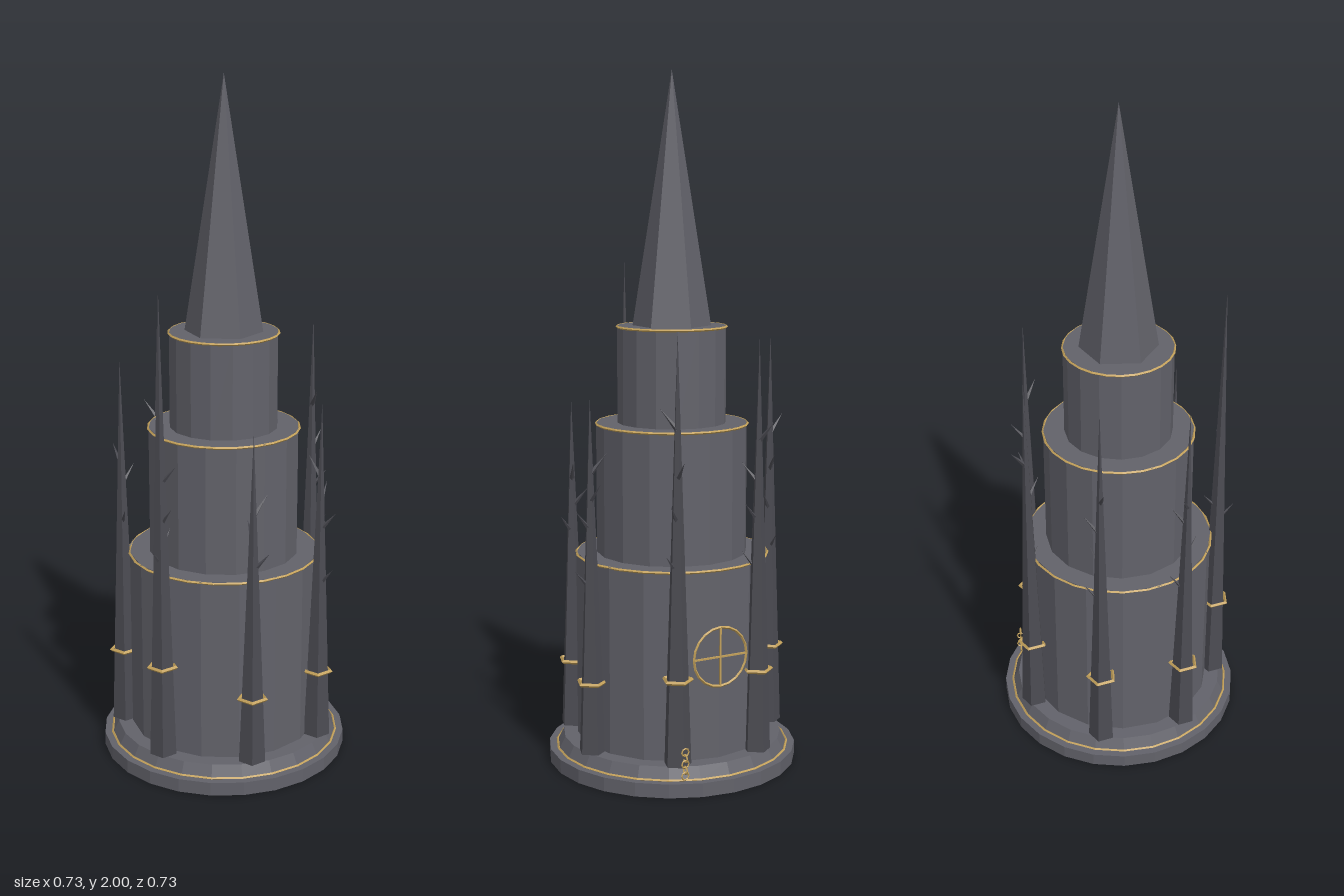
import * as THREE from 'three';

const flat = (name, color) => {
  const m = new THREE.MeshStandardMaterial({ color, flatShading: true });
  m.name = name;
  return m;
};

export function createModel() {
  const stone = flat('grey stone', 0x62626a);
  const dark = flat('dark stone', 0x4c4c53);
  const gold = flat('aged gold', 0xc2a05a);
  const model = new THREE.Group();
  model.name = 'tower';

  const add = (name, geo, mat, x = 0, y = 0, z = 0, parent = model) => {
    const mesh = new THREE.Mesh(geo, mat);
    mesh.name = name;
    mesh.position.set(x, y, z);
    parent.add(mesh);
    return mesh;
  };
  const drum = (name, rTop, rBottom, y0, y1, sides) =>
    add(name, new THREE.CylinderGeometry(rTop, rBottom, y1 - y0, sides), stone, 0, (y0 + y1) / 2, 0);
  const hoop = (name, r, y, tube = 0.004) =>
    add(name, new THREE.TorusGeometry(r, tube, 4, 24).rotateX(Math.PI / 2), gold, 0, y, 0);

  // Stepped base
  drum('basePlinth', 0.365, 0.365, 0, 0.04, 24);
  drum('baseStep', 0.322, 0.34, 0.04, 0.075, 24);
  hoop('baseTrim', 0.341, 0.041);

  // Three stacked tiers with gold rims
  [[0.28, 0.075, 0.62], [0.22, 0.62, 1.0], [0.158, 1.0, 1.28]].forEach(([r, y0, y1], i) => {
    drum(`tier${i + 1}`, r, r, y0, y1, 16);
    hoop(`tierRim${i + 1}`, r, y1 - 0.003);
  });

  // Central six-sided spire
  add('mainSpire', new THREE.ConeGeometry(0.113, 0.72, 6), stone, 0, 1.64, 0);

  // Seven thorned pinnacles: x, z, tip height, thorns as [height, heading in degrees from +z to +x]
  const pinnacles = [
    [0, 0.3, 1.45, [[0.66, 5], [0.78, 75], [0.9, 100], [0.7, 185]]],
    [0.235, 0.185, 1.06, [[0.55, 220], [0.66, 110], [0.74, 235], [0.82, 160]]],
    [0.295, -0.065, 1.1, [[0.55, 85], [0.72, 100], [0.8, 190], [0.88, 260]]],
    [0.13, -0.27, 1.29, [[0.62, 110], [0.76, 130], [0.88, 175], [1.02, 50]]],
    [-0.13, -0.27, 1.26, [[0.6, 55], [0.74, 100], [0.85, 45], [0.97, 210]]],
    [-0.295, -0.065, 1.25, [[0.6, 175], [0.72, 130], [0.84, 165], [0.95, 280]]],
    [-0.235, 0.185, 1.2, [[0.58, 180], [0.7, 50], [0.82, 170], [0.88, 250]]],
  ];
  const foot = 0.075, footR = 0.04, tilt = 0.7, thornLength = 0.075;
  pinnacles.forEach(([x, z, top, thorns], i) => {
    const group = new THREE.Group();
    group.name = `pinnacle${i + 1}`;
    group.position.set(x, 0, z);
    model.add(group);
    const h = top - foot;
    add('pinnacleCone', new THREE.ConeGeometry(footR, h, 5).rotateY(Math.PI), dark, 0, foot + h / 2, 0, group);

    // Pentagonal gold collar, one fifth of the way up
    const collar = new THREE.TorusGeometry(0.041, 0.006, 4, 5).rotateX(Math.PI / 2).rotateY(Math.PI / 2);
    add('collar', collar, gold, 0, foot + h * 0.2, 0, group);

    // Thorns leaning out and up
    for (const [y, deg] of thorns) {
      const geo = new THREE.ConeGeometry(0.008, thornLength, 4)
        .translate(0, thornLength / 2, 0).rotateX(tilt).rotateY(THREE.MathUtils.degToRad(deg));
      add('thorn', geo, dark, 0, y, 0, group);
    }
  });

  // Round window frame on the back
  const wheel = new THREE.Group();
  wheel.name = 'wheelWindow';
  wheel.position.set(0, 0.37, -0.284);
  model.add(wheel);
  add('wheelRim', new THREE.TorusGeometry(0.085, 0.004, 4, 20), gold, 0, 0, 0, wheel);
  add('wheelBarUpright', new THREE.BoxGeometry(0.005, 0.17, 0.005), gold, 0, 0, 0, wheel);
  add('wheelBarLevel', new THREE.BoxGeometry(0.17, 0.005, 0.005), gold, 0, 0, 0, wheel);

  // Short chain hanging at the back, links turned alternately
  for (let i = 0; i < 5; i++) {
    const link = new THREE.TorusGeometry(0.011, 0.0025, 4, 8).rotateY((i % 2) * Math.PI / 2);
    add('chainLink', link, gold, 0.13, 0.055 + i * 0.017, -0.316, model);
  }

  return model;
}
